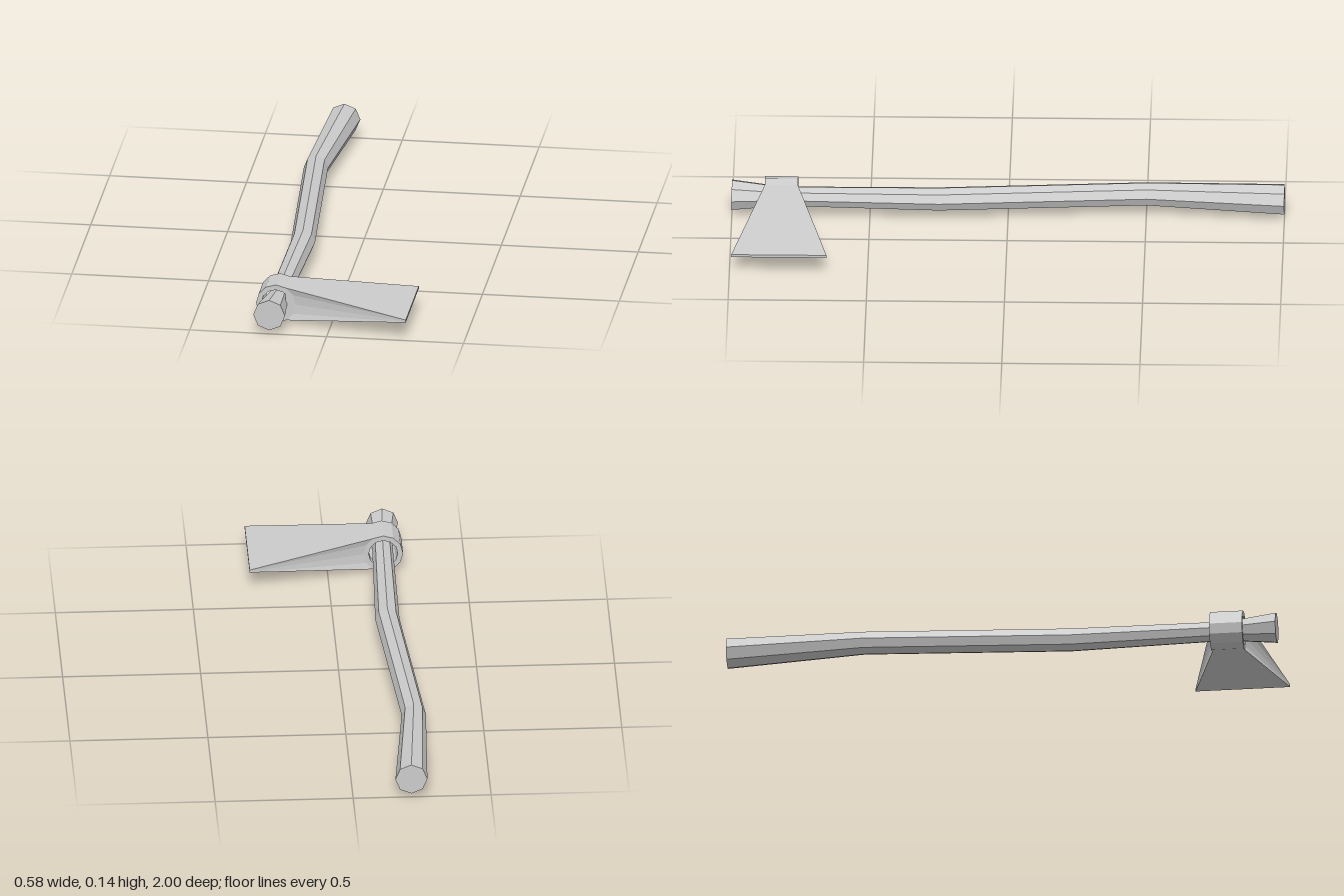
import * as THREE from 'three';

const material = new THREE.MeshStandardMaterial({ color: 0xcccccc, flatShading: true });
const AXIS_Y = 0.073;

// Skin a row of closed loops (equal point counts) and cap both ends.
function loft(loops) {
  const pos = [];
  const tri = (a, b, c) => pos.push(...a, ...b, ...c);
  const n = loops[0].length;
  for (let i = 0; i < loops.length - 1; i++) {
    for (let j = 0; j < n; j++) {
      const k = (j + 1) % n;
      const [a, b, c, d] = [loops[i][j], loops[i][k], loops[i + 1][k], loops[i + 1][j]];
      tri(a, b, d);
      tri(b, c, d);
    }
  }
  const first = loops[0], last = loops[loops.length - 1];
  for (let j = 1; j < n - 1; j++) {
    tri(first[0], first[j + 1], first[j]);
    tri(last[0], last[j], last[j + 1]);
  }
  const geo = new THREE.BufferGeometry();
  geo.setAttribute('position', new THREE.Float32BufferAttribute(pos, 3));
  geo.computeVertexNormals();
  return geo;
}

// Points of a regular polygon with corners on the axes
function ring(cx, cy, r, n) {
  return Array.from({ length: n }, (_, i) => {
    const a = (i / n) * Math.PI * 2;
    return new THREE.Vector2(cx + r * Math.cos(a), cy + r * Math.sin(a));
  });
}

export function createModel() {
  const group = new THREE.Group();
  const add = (name, geo) => {
    const mesh = new THREE.Mesh(geo, material);
    mesh.name = name;
    group.add(mesh);
  };

  // Bent eight-sided handle, flared at both ends: z, centre x, radius
  const stations = [
    [-1, -0.211, 0.058],
    [-0.5, -0.246, 0.044],
    [0.25, -0.19, 0.044],
    [0.82, -0.202, 0.037],
    [1, -0.21, 0.058],
  ];
  add('handle', loft(stations.map(([z, x, r]) =>
    ring(x, AXIS_Y, r, 8).map((p) => [p.x, p.y, z]))));

  // Twelve-sided collar around the handle
  const cx = -0.202, R = 0.072, zBack = 0.76, zFront = 0.88;
  const shape = new THREE.Shape(ring(cx, AXIS_Y, R, 12));
  shape.holes.push(new THREE.Path(ring(cx, AXIS_Y, 0.053, 12)));
  const collar = new THREE.ExtrudeGeometry(shape, { depth: zFront - zBack, bevelEnabled: false });
  collar.translate(0, 0, zBack);
  add('collar', collar);

  // Blade: starts on the collar's outer corners, widens and thins to a straight edge
  const profile = [60, 30, 0, -30, -60].map((d) => {
    const a = THREE.MathUtils.degToRad(d);
    return [cx + R * Math.cos(a), AXIS_Y + R * Math.sin(a)];
  });
  const edge = [1, 0.5, 0, -0.5, -1].map((t) => [0.288, AXIS_Y + 0.005 * t]);
  const section = (pts, z0, z1) => [
    ...pts.map(([x, y]) => [x, y, z1]),
    ...[...pts].reverse().map(([x, y]) => [x, y, z0]),
  ];
  add('blade', loft([section(profile, zBack, zFront), section(edge, 0.648, 0.993)]));

  return group;
}
